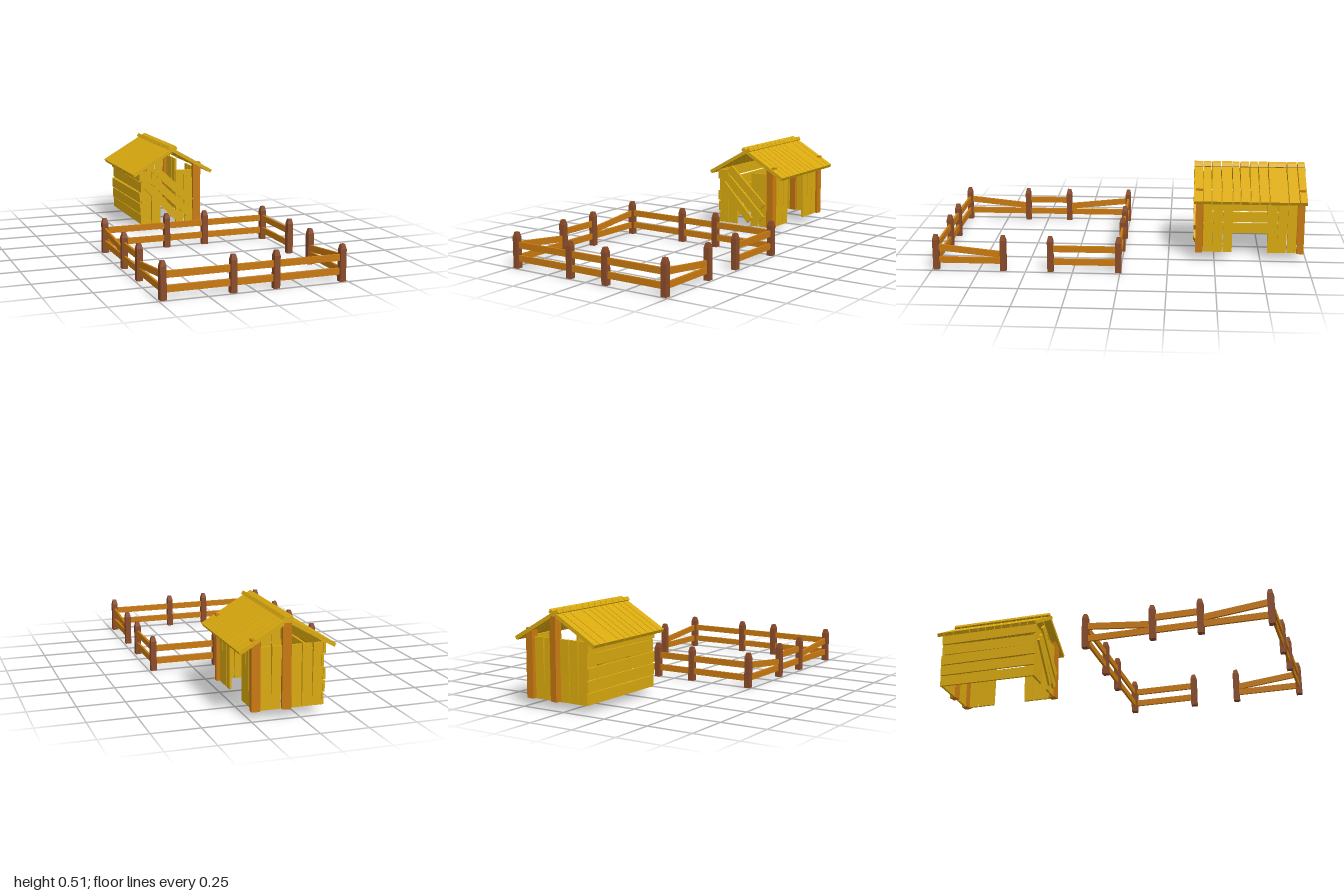
import * as THREE from 'three';

const mat = (color) => new THREE.MeshStandardMaterial({ color, flatShading: true });

export function createModel() {
  const root = new THREE.Group();
  const postMat = mat(0x8a4b2a), railMat = mat(0xc97a10), plankMat = mat(0xd9a90f);

  const group = (name) => {
    const g = new THREE.Group();
    g.name = name;
    root.add(g);
    return g;
  };
  const box = (parent, name, material, size, pos, rot = [0, 0, 0]) => {
    const m = new THREE.Mesh(new THREE.BoxGeometry(...size), material);
    m.name = name;
    m.position.set(...pos);
    m.rotation.set(...rot);
    parent.add(m);
    return m;
  };

  // ---- Fence ----
  const fence = group('fence');
  const xs = [-0.475, -0.115, 0.112, 0.473];
  const zs = [0.008, 0.368, 0.619, 0.978];

  // Post with a tapered cap: the top ring of a two-part box is pulled in
  const postGeo = new THREE.BoxGeometry(0.032, 0.192, 0.032, 1, 2, 1);
  const p = postGeo.attributes.position;
  for (let i = 0; i < p.count; i++) {
    const y = p.getY(i);
    if (y > 0.05) p.setXYZ(i, p.getX(i) * 0.6, y, p.getZ(i) * 0.6);
    else if (y > -0.05) p.setY(i, 0.07);
  }
  xs.forEach((x, i) => zs.forEach((z, j) => {
    if (i % 3 && j % 3) return; // perimeter only
    const m = new THREE.Mesh(postGeo, postMat);
    m.name = 'fencePost';
    m.position.set(x, 0.096, z);
    fence.add(m);
  }));

  // Rails: straight along x, straight or sagging along z
  const railX = (z, y) =>
    box(fence, 'fenceRail', railMat, [xs[3] - xs[0], 0.034, 0.012], [(xs[0] + xs[3]) / 2, y, z]);
  const railZ = (x, z0, z1, y0, y1) =>
    box(fence, 'fenceRail', railMat, [0.012, 0.034, Math.hypot(z1 - z0, y1 - y0)],
      [x, (y0 + y1) / 2, (z0 + z1) / 2], [-Math.atan2(y1 - y0, z1 - z0), 0, 0]);
  const low = 0.053, high = 0.124, sag = 0.086;
  for (const z of [zs[0], zs[3]]) for (const y of [low, high]) railX(z, y);
  railZ(xs[0], zs[0], zs[3], low, low);
  railZ(xs[0], zs[0], zs[1], high, sag);
  railZ(xs[0], zs[1], zs[2], high, high);
  railZ(xs[0], zs[2], zs[3], sag, high);
  railZ(xs[3], zs[0], zs[1], low, low);
  railZ(xs[3], zs[0], zs[1], high, high);
  railZ(xs[3], zs[2], zs[3], low, low);
  railZ(xs[3], zs[2], zs[3], sag, high);

  // ---- Shed ----
  const shed = group('shed');
  const base = 0.042, thick = 0.012;
  const tilt = (i) => 0.018 * Math.sin(i * 2.3 + 1); // slight unevenness

  // Support posts: x, z, top, turn
  [[0.222, -0.417, 0.4, -0.1], [0.222, -0.965, 0.4, -0.08], [0.064, -0.972, 0.472, -0.22]]
    .forEach(([x, z, top, turn]) => box(shed, 'shedPost', railMat,
      [0.044, top - base, 0.038], [x, (top + base) / 2, z], [0, turn, 0]));

  // Vertical planks of the front and back walls
  const wallX = (name, z, spans) => spans.forEach(([a, b], i) =>
    box(shed, name, plankMat, [b - a, 0.316, thick], [(a + b) / 2, 0.2, z], [0, 0, tilt(i)]));
  wallX('frontWallPlank', -0.412,
    [[-0.127, -0.07], [-0.064, -0.008], [0.09, 0.138], [0.142, 0.193]]);
  wallX('backWallPlank', -0.965,
    [[-0.127, -0.075], [-0.071, -0.02], [-0.016, 0.036], [0.09, 0.139], [0.143, 0.196]]);

  // Vertical planks of the right wall, with the doorway between
  [[-0.488, -0.438], [-0.542, -0.492], [-0.597, -0.547],
    [-0.837, -0.785], [-0.89, -0.841], [-0.943, -0.894]].forEach(([a, b], i) =>
    box(shed, 'doorWallPlank', plankMat, [thick, 0.32, b - a],
      [0.222, 0.202, (a + b) / 2], [tilt(i), 0, 0]));

  // Horizontal planks of the left wall
  for (let i = 0; i < 5; i++)
    box(shed, 'sideWallPlank', plankMat, [thick, 0.058, 0.57],
      [-0.13 + 0.3 * tilt(i), 0.072 + i * 0.0645, -0.69], [0.3 * tilt(i), 0, 0]);

  // Loose boards leaning across the front
  [[-0.05, 0.375, 0.178, 0.165, 0.047, -0.392], [-0.068, 0.315, 0.17, 0.09, 0.045, -0.396],
    [-0.1, 0.277, 0.092, 0.075, 0.045, -0.392]].forEach(([x0, y0, x1, y1, w, z]) =>
    box(shed, 'diagonalBoard', plankMat, [Math.hypot(x1 - x0, y1 - y0), w, thick],
      [(x0 + x1) / 2, (y0 + y1) / 2, z], [0, 0, Math.atan2(y1 - y0, x1 - x0)]));

  // Roof boards on both slopes, crossing at the ridge
  const cuts = [-0.99, -0.947, -0.889, -0.788, -0.735, -0.688, -0.635, -0.593, -0.534, -0.481, -0.434, -0.383];
  for (const side of [-1, 1])
    for (let i = 0; i < cuts.length - 1; i++)
      box(shed, 'roofBoard', plankMat, [0.313, 0.02, cuts[i + 1] - cuts[i] - 0.005],
        [0.0625 + side * 0.11, 0.42, (cuts[i] + cuts[i + 1]) / 2], [0, 0, -side * Math.PI / 6]);

  return root;
}
